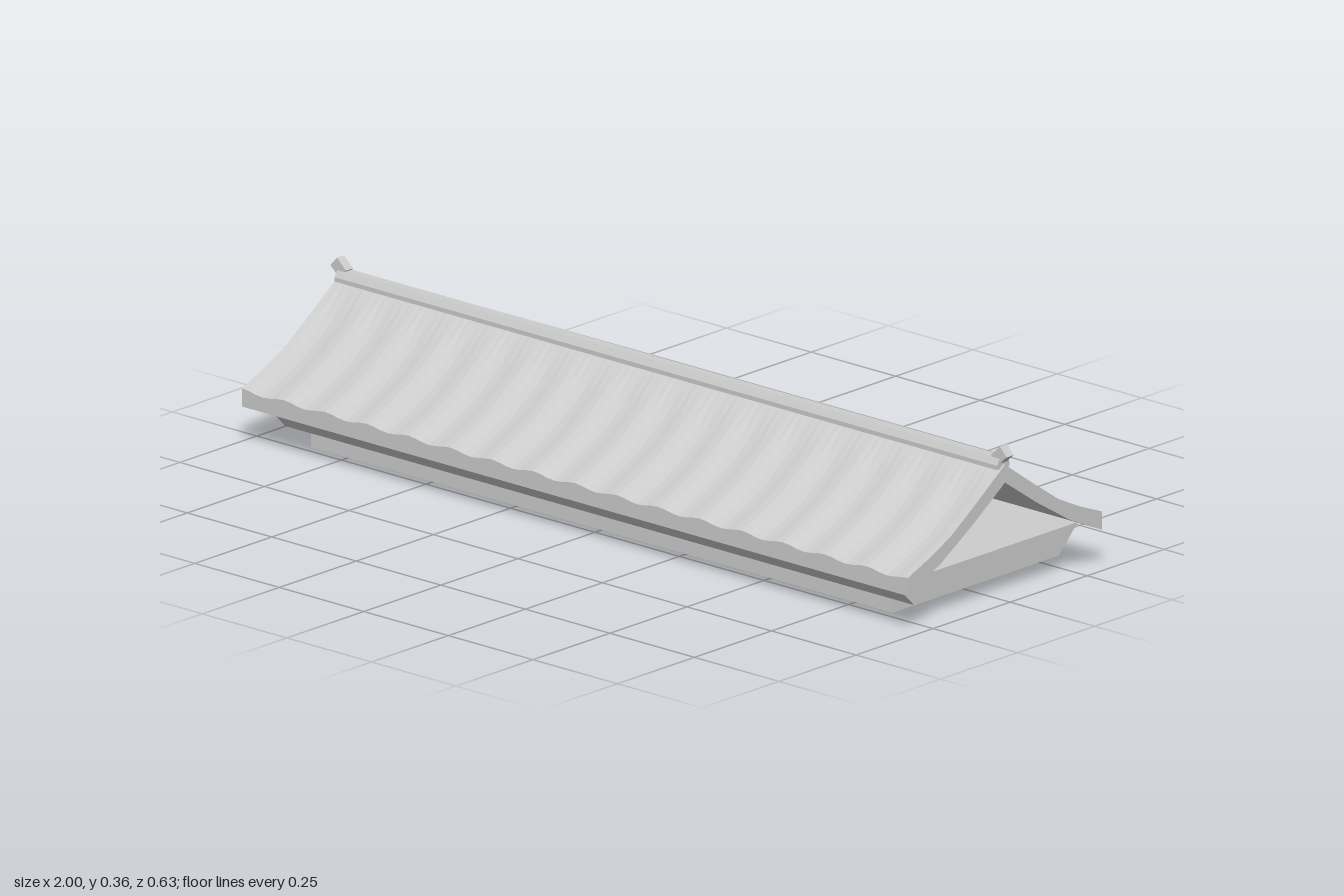
import * as THREE from 'three';

const grey = new THREE.MeshStandardMaterial({ color: 0xcccccc, flatShading: true });
grey.name = 'stone grey';

// Solid prism along x from an outline of [z, y] points
function prism(name, outline, halfLength) {
  const shape = new THREE.Shape(outline.map(([z, y]) => new THREE.Vector2(-z, y)));
  const geo = new THREE.ExtrudeGeometry(shape, { depth: halfLength * 2, bevelEnabled: false });
  geo.translate(0, 0, -halfLength).rotateY(Math.PI / 2);
  const mesh = new THREE.Mesh(geo, grey);
  mesh.name = name;
  return mesh;
}

// Rippled roof: a closed gable cross-section swept along x
function roofGeometry() {
  const half = 0.985, waves = 16, steps = waves * 6;
  const top = [[0.315, 0.129], [0.245, 0.157], [0.175, 0.191], [0.09, 0.249], [0, 0.313]];
  const under = [[0.315, 0.087], [0.21, 0.135], [0.1, 0.203], [0, 0.272]];
  const mirror = (pts) => pts.slice(0, -1).reverse().map(([z, y]) => [-z, y]);
  const upper = [...top, ...mirror(top)];
  const lower = [...under, ...mirror(under)].reverse();
  const ring = [...upper, ...lower];
  const n = ring.length, pos = [], index = [];
  for (let i = 0; i <= steps; i++) {
    const x = -half + (2 * half * i) / steps;
    const dip = 0.004 * (1 - Math.cos((i / steps) * waves * Math.PI * 2));
    ring.forEach(([z, y], j) => pos.push(x, y - (j < upper.length && z !== 0 ? dip : 0), z));
  }
  for (let i = 0; i < steps; i++) {
    for (let j = 0; j < n; j++) {
      const a = i * n + j, b = i * n + ((j + 1) % n);
      index.push(a, a + n, b, b, a + n, b + n);
    }
  }
  // End caps
  const outline = ring.map(([z, y]) => new THREE.Vector2(z, y));
  const flip = THREE.ShapeUtils.isClockWise(outline);
  const faces = THREE.ShapeUtils.triangulateShape(outline, []);
  for (const [a, b, c] of faces) {
    const [p, q, r] = [a, b, c].map((k) => outline[k]);
    const area = (q.x - p.x) * (r.y - p.y) - (q.y - p.y) * (r.x - p.x);
    // Positive area in (z, y) faces -x
    const [s, t] = area > 0 ? [b, c] : [c, b];
    index.push(a, s, t, steps * n + a, steps * n + t, steps * n + s);
  }
  const geo = new THREE.BufferGeometry();
  geo.setAttribute('position', new THREE.Float32BufferAttribute(pos, 3));
  geo.setIndex(index);
  geo.computeVertexNormals();
  return geo;
}

export function createModel() {
  const model = new THREE.Group();
  model.name = 'gabledRoof';

  // Stepped base with a flared cornice
  model.add(prism('base', [[-0.228, 0], [0.228, 0], [0.228, 0.036], [-0.228, 0.036]], 0.86));
  model.add(prism('cornice', [[-0.235, 0.035], [0.235, 0.035], [0.297, 0.097], [-0.297, 0.097]], 0.93));

  const roof = new THREE.Mesh(roofGeometry(), grey);
  roof.name = 'tiledRoof';
  model.add(roof);

  // Ridge beam with chamfered shoulders
  model.add(prism('ridge', [
    [-0.02, 0.304], [0.02, 0.304], [0.02, 0.314], [0.011, 0.329], [-0.011, 0.329], [-0.02, 0.314],
  ], 0.98));

  // Tilted blocks at both ridge ends
  for (const side of [-1, 1]) {
    const finial = new THREE.Mesh(new THREE.BoxGeometry(0.036, 0.029, 0.023), grey);
    finial.name = side > 0 ? 'leftFinial' : 'rightFinial';
    finial.position.set(side * 0.977, 0.334, 0);
    finial.rotation.z = side * 0.75;
    model.add(finial);
  }
  return model;
}
